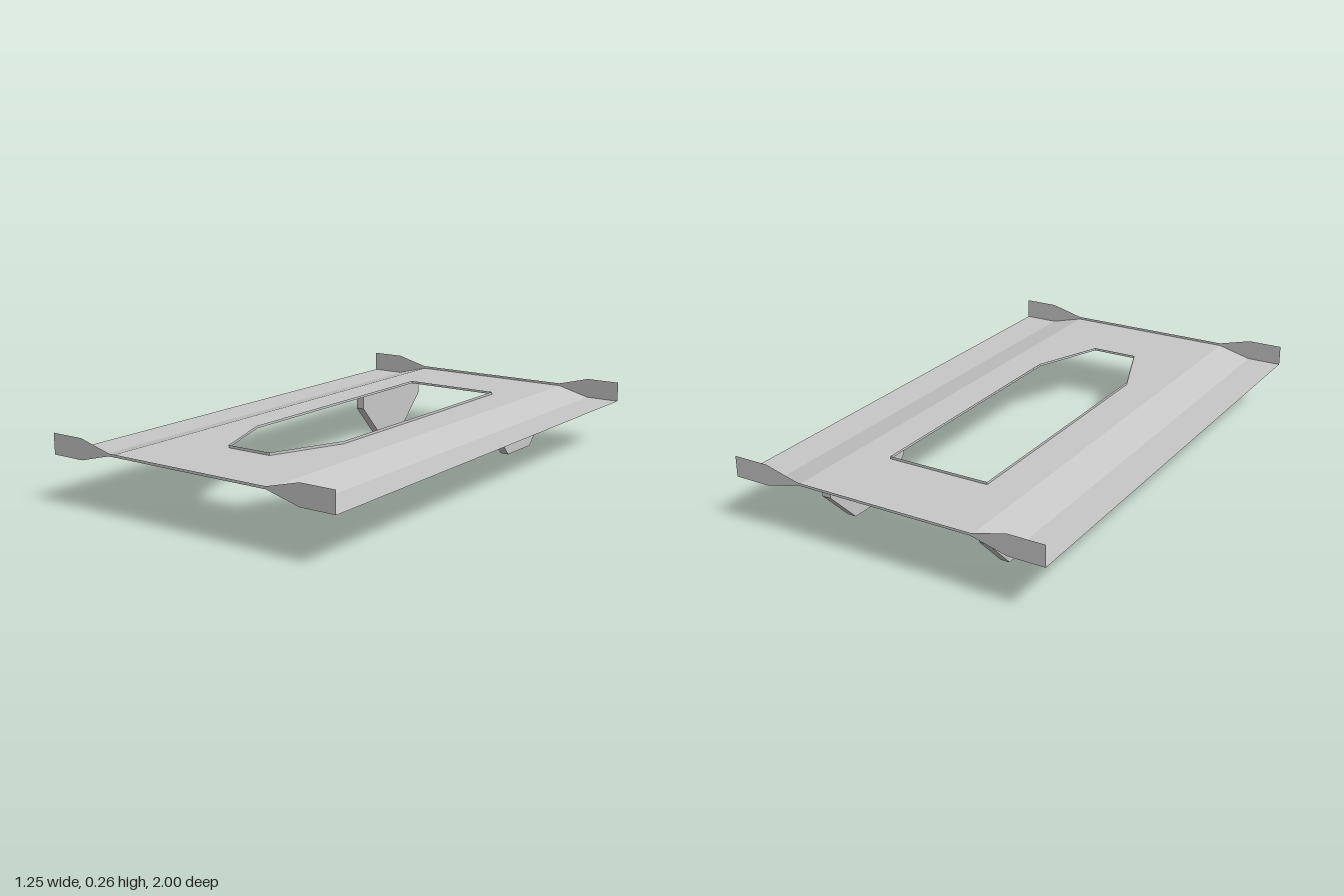
import * as THREE from 'three';
import { mergeGeometries } from 'three/addons/utils/BufferGeometryUtils.js';

const HALF_LENGTH = 1;
const BASE = 0.22;   // height of the thin sheet
const LIP = 0.23;    // top of the slot rim
// Cross-section of one side: [x, lower y, upper y]
const SECTION = [[0.35, BASE, LIP], [0.485, 0.185, 0.265], [0.625, 0.185, 0.265]];
// Outline of the slot as [x, z]
const SLOT = [[-0.203, -0.67], [0.203, -0.67], [0.203, 0.385], [0.093, 0.67], [-0.093, 0.67], [-0.203, 0.385]];

const toShape = (points) => new THREE.Shape(points.map(([x, y]) => new THREE.Vector2(x, y)));

export function createModel() {
  const model = new THREE.Group();
  const grey = new THREE.MeshStandardMaterial({ color: 0xc8c8c8, flatShading: true, side: THREE.DoubleSide });
  grey.name = 'light grey';

  const add = (name, geometry) => {
    const mesh = new THREE.Mesh(geometry, grey);
    mesh.name = name;
    model.add(mesh);
    return mesh;
  };

  // Flat middle of the sheet with the slot cut out
  const inner = SECTION[0][0];
  const panel = toShape([[-inner, -1], [inner, -1], [inner, 1], [-inner, 1]]);
  panel.holes.push(new THREE.Path(SLOT.map(([x, z]) => new THREE.Vector2(x, -z))));
  add('centrePanel', new THREE.ShapeGeometry(panel).rotateX(-Math.PI / 2).translate(0, BASE, 0));

  // Thin upright rim around the slot
  const rim = SLOT.map(([x, z], i) => {
    const [nx, nz] = SLOT[(i + 1) % SLOT.length];
    return new THREE.PlaneGeometry(Math.hypot(nx - x, nz - z), LIP - BASE)
      .rotateY(-Math.atan2(nz - z, nx - x))
      .translate((x + nx) / 2, (BASE + LIP) / 2, (z + nz) / 2);
  });
  add('slotRim', mergeGeometries(rim));

  for (const side of [-1, 1]) {
    const label = side > 0 ? 'left' : 'right';

    // Side wing: slopes down from the panel, then runs flat
    const wing = new THREE.PlaneGeometry(2, 2 * HALF_LENGTH, 2, 1).rotateX(-Math.PI / 2);
    const pos = wing.attributes.position;
    for (let i = 0; i < pos.count; i++) {
      const column = Math.round(pos.getX(i)) + 1;
      const [x, y] = SECTION[side > 0 ? column : 2 - column];
      pos.setXYZ(i, side * x, y, pos.getZ(i));
    }
    wing.computeVertexNormals();
    add(label + 'Wing', wing);

    // Foot under the rear of the sheet, drawn in (-z, y) and given width along x
    const foot = toShape([[0.45, BASE], [0.45, 0.13], [0.57, 0], [0.755, 0], [0.885, 0.13], [0.885, BASE]]);
    const width = 0.036;
    add(label + 'Foot', new THREE.ExtrudeGeometry(foot, { depth: width, bevelEnabled: false })
      .translate(0, 0, -width / 2)
      .rotateY(Math.PI / 2)
      .translate(side * 0.325, 0, 0));
  }

  // Upright plates closing both ends, flaring at the corners
  const mirrored = (column) => [
    ...SECTION.map((p) => [p[0], p[column]]),
  ];
  const lower = mirrored(1), upper = mirrored(2);
  const flip = (points) => points.map(([x, y]) => [-x, y]);
  const outline = toShape([
    ...flip(lower).reverse(), ...lower, ...upper.reverse(), ...flip(upper),
  ].slice(0, 9).concat(flip(SECTION.map((p) => [p[0], p[2]]))));
  for (const end of [-1, 1]) {
    const plate = new THREE.ShapeGeometry(outline);
    if (end < 0) plate.rotateY(Math.PI);
    add(end > 0 ? 'frontEndPlate' : 'rearEndPlate', plate.translate(0, 0, end * HALF_LENGTH));
  }

  return model;
}
